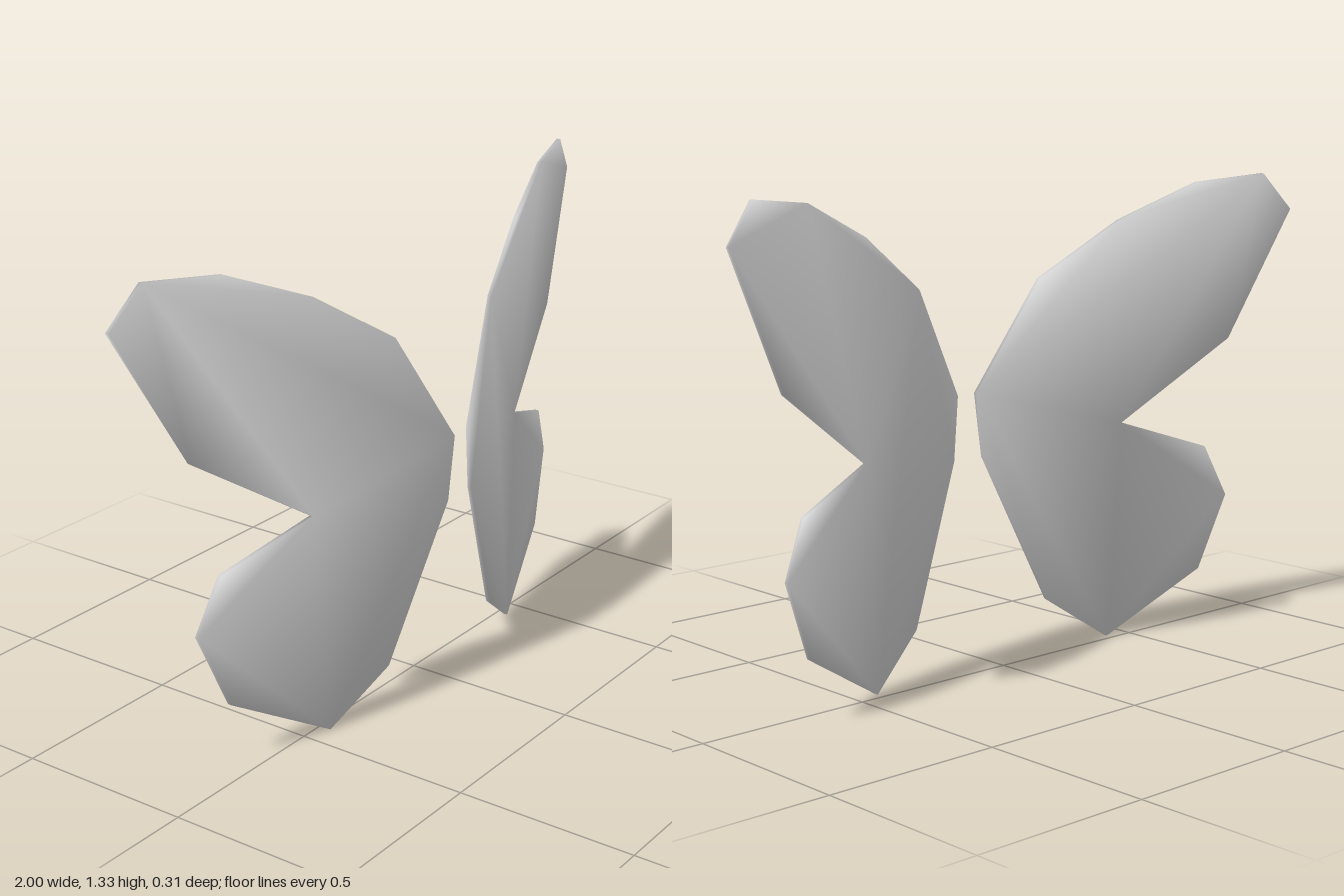
import * as THREE from 'three';

// Outline of the left wing seen from the front, starting at the inner edge
const OUTLINE = [
  [0.035, 0.74], [0.22, 1.05], [0.46, 1.205], [0.7, 1.305], [0.91, 1.325],
  [1.0, 1.22], [0.805, 0.85], [0.47, 0.625], [0.735, 0.535], [0.805, 0.385],
  [0.72, 0.17], [0.43, 0], [0.245, 0.13], [0.055, 0.56],
];
const THICKNESS = 0.012;
const SWEEP = 0.313; // how far the wing falls back per unit of width

// Average the facet normals around every corner, so the rim shades softly
function smoothNormals(geometry) {
  geometry.computeVertexNormals();
  const pos = geometry.attributes.position;
  const nor = geometry.attributes.normal;
  const sums = new Map();
  const keyOf = (i) => [pos.getX(i), pos.getY(i), pos.getZ(i)].map((v) => v.toFixed(4)).join();
  for (let i = 0; i < pos.count; i++) {
    const key = keyOf(i);
    if (!sums.has(key)) sums.set(key, new THREE.Vector3());
    sums.get(key).add(new THREE.Vector3().fromBufferAttribute(nor, i));
  }
  for (const sum of sums.values()) sum.normalize();
  for (let i = 0; i < pos.count; i++) {
    const n = sums.get(keyOf(i));
    nor.setXYZ(i, n.x, n.y, n.z);
  }
}

// Thin plate, swept backwards towards the tip
function createWing(side, material) {
  const shape = new THREE.Shape(OUTLINE.map(([x, y]) => new THREE.Vector2(side * x, y)));
  const geometry = new THREE.ExtrudeGeometry(shape, { depth: THICKNESS, bevelEnabled: false });
  const pos = geometry.attributes.position;
  for (let i = 0; i < pos.count; i++) {
    pos.setZ(i, pos.getZ(i) + 0.146 - SWEEP * (Math.abs(pos.getX(i)) - 0.035));
  }
  smoothNormals(geometry);
  const wing = new THREE.Mesh(geometry, material);
  wing.name = side > 0 ? 'leftWing' : 'rightWing';
  return wing;
}

export function createModel() {
  const model = new THREE.Group();
  model.name = 'butterflyWings';
  const material = new THREE.MeshStandardMaterial({ color: 0xcccccc });
  for (const side of [1, -1]) model.add(createWing(side, material));
  return model;
}
